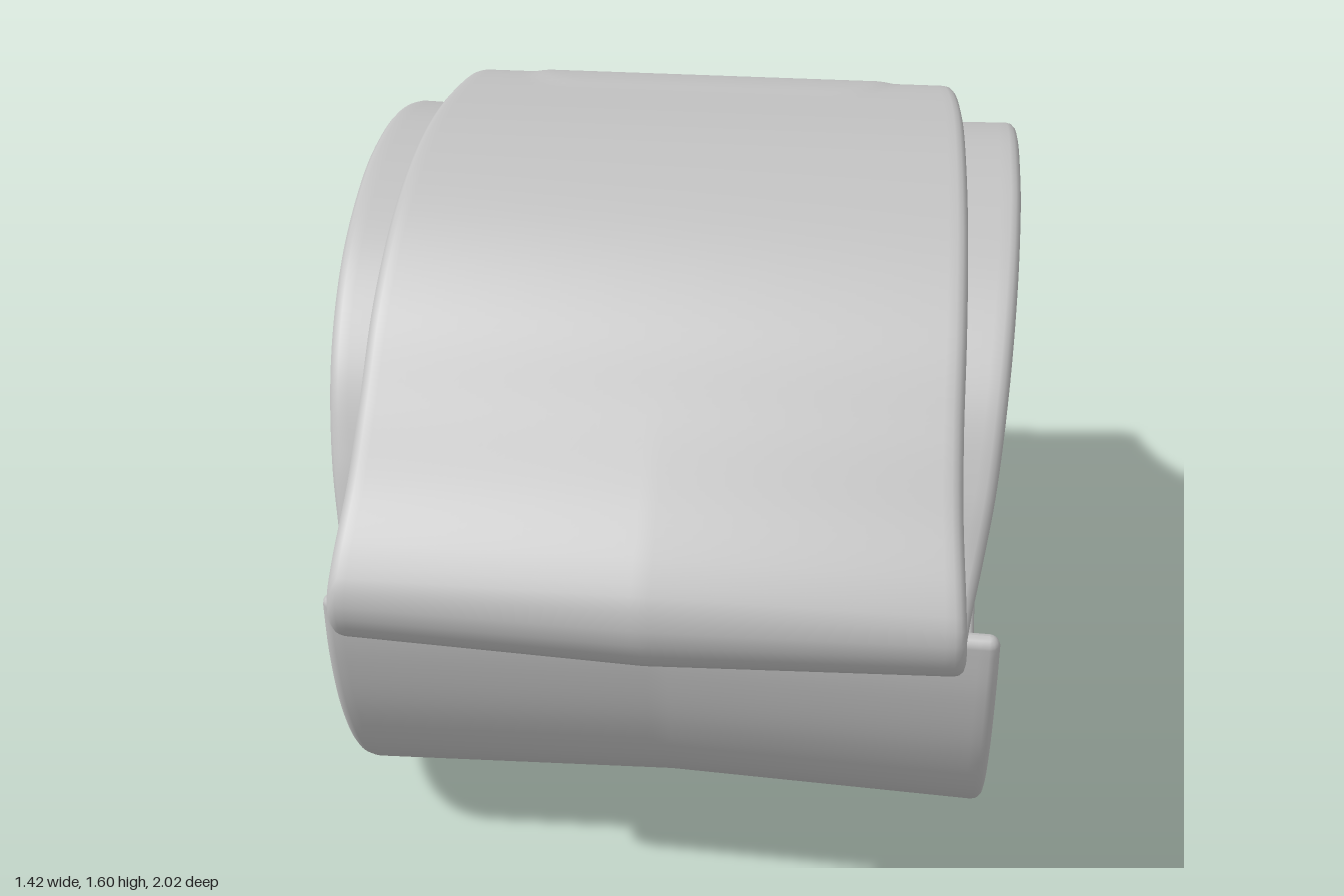
import * as THREE from 'three';

// Centre line of the strap: [z, y, half width], from the front opening, under,
// round the back, over the top, through the front fold and back as a flap.
const BAND = [
  [0.782, 0.765, 0.71], [0.775, 0.62, 0.71], [0.735, 0.45, 0.71], [0.65, 0.29, 0.71],
  [0.5, 0.155, 0.71], [0.35, 0.075, 0.71], [0.18, 0.032, 0.71], [0, 0.025, 0.71],
  [-0.15, 0.031, 0.71], [-0.3, 0.072, 0.71], [-0.45, 0.17, 0.71], [-0.6, 0.3, 0.71],
  [-0.7, 0.46, 0.71], [-0.765, 0.65, 0.71], [-0.781, 0.82, 0.71], [-0.75, 1.0, 0.71],
  [-0.62, 1.21, 0.71], [-0.45, 1.36, 0.71], [-0.29, 1.467, 0.71], [-0.07, 1.525, 0.71],
  [0.1, 1.522, 0.71], [0.25, 1.487, 0.71], [0.46, 1.385, 0.705], [0.62, 1.235, 0.695],
  [0.72, 1.06, 0.68], [0.78, 0.92, 0.66], [0.825, 0.835, 0.645],
];
const FLAP = [
  [0.875, 0.79, 0.637], [0.925, 0.788, 0.635], [0.965, 0.825, 0.635], [0.978, 0.88, 0.633],
  [0.945, 0.94, 0.628], [0.835, 1.065, 0.615], [0.73, 1.195, 0.608], [0.595, 1.345, 0.605],
  [0.41, 1.475, 0.6], [0.19, 1.557, 0.592], [-0.07, 1.577, 0.582], [-0.26, 1.562, 0.565],
  [-0.38, 1.51, 0.548], [-0.5, 1.43, 0.525], [-0.64, 1.345, 0.487], [-0.8, 1.285, 0.43],
  [-0.9, 1.278, 0.39], [-0.998, 1.292, 0.35],
];
const H = 0.022; // half thickness
const COLS = 64, ROWS = 310, EDGE = 6;

// 1 inside a rounded rectangle, fading softly to 0 at its border
function panel(a, b, halfA, halfB, radius) {
  const qa = Math.abs(a) - halfA + radius, qb = Math.abs(b) - halfB + radius;
  const d = Math.hypot(Math.max(qa, 0), Math.max(qb, 0)) + Math.min(Math.max(qa, qb), 0) - radius;
  return 1 - THREE.MathUtils.smoothstep(d, -0.02, 0.02);
}

// Closed cross-section, counter-clockwise: s = -1..1 across, e = rounded edge, n = thickness
function crossSection() {
  const loop = [];
  for (let i = 0; i <= COLS; i++) loop.push({ s: 1 - 2 * i / COLS, e: 0, n: 1 });
  for (let i = 1; i < EDGE; i++) {
    const a = Math.PI * i / EDGE;
    loop.push({ s: -1, e: -Math.sin(a), n: Math.cos(a) });
  }
  for (let i = 0; i <= COLS; i++) loop.push({ s: -1 + 2 * i / COLS, e: 0, n: -1 });
  for (let i = 1; i < EDGE; i++) {
    const a = Math.PI * i / EDGE;
    loop.push({ s: 1, e: Math.sin(a), n: -Math.cos(a) });
  }
  return loop;
}

function strapGeometry() {
  const curve = new THREE.CatmullRomCurve3(
    [...BAND, ...FLAP].map(([z, y, w]) => new THREE.Vector3(w, y, z)));
  curve.arcLengthDivisions = 3000;
  const length = curve.getLength();

  // Row distances, with extra rows to round both ends
  const round = [0, 0.06, 0.2, 0.45, 0.75].map(k => k * H);
  const dist = [...round];
  for (let i = 0; i <= ROWS; i++) dist.push(H + (length - 2 * H) * i / ROWS);
  dist.push(...round.map(d => length - d).reverse());
  const rows = dist.map(d => {
    const u = Math.min(1, d / length);
    return { d, p: curve.getPointAt(u), t: curve.getTangentAt(u).setX(0).normalize() };
  });

  // Distance along the strap of the row nearest a place on the band or flap
  const fold = rows.reduce((a, b) => (b.p.z > a.p.z ? b : a)).d;
  const along = (z, y, onFlap) => rows.filter(r => (r.d > fold) === onFlap)
    .reduce((a, b) => (Math.hypot(b.p.z - z, b.p.y - y) < Math.hypot(a.p.z - z, a.p.y - y) ? b : a)).d;
  const backSpan = [along(-0.58, 0.3, false), along(-0.4, 1.4, false)];
  const flapSpan = [along(-0.13, 1.577, true), along(-0.7, 1.32, true)];
  const raised = (x, d, [from, to], halfX) =>
    panel(x, d - (from + to) / 2, halfX, (to - from) / 2, 0.12);

  const loop = crossSection(), N = loop.length;
  const pos = [], index = [];
  rows.forEach(({ d, p, t }, i) => {
    const end = Math.min(1, Math.min(d, length - d) / H);
    const thick = H * Math.sqrt(Math.max(0, 1 - (1 - end) ** 2));
    // Waist pulls the middle of the band inwards, notch hollows the flap tip
    const waist = 0.02 * (1 - THREE.MathUtils.smoothstep(d, fold, fold + 0.5));
    const notch = 0.022 * THREE.MathUtils.smoothstep(d, length - 0.3, length);
    for (const { s, e, n } of loop) {
      const x = s * (p.x - H) + e * thick;
      const mid = 1 - Math.abs(s);
      let off = n * thick - waist * mid;
      if (e === 0 && n > 0 && d < fold) off += 0.008 * raised(x, d, backSpan, 0.54);
      if (e === 0 && n < 0 && d > fold) off -= 0.005 * raised(x, d, flapSpan, 0.41);
      const back = notch * mid;
      pos.push(x, p.y + t.z * off - t.y * back, p.z - t.y * off - t.z * back);
    }
    if (i === 0) return;
    for (let j = 0; j < N; j++) {
      const k = (j + 1) % N, a = (i - 1) * N, b = i * N;
      index.push(a + j, a + k, b + k, a + j, b + k, b + j);
    }
  });
  const geometry = new THREE.BufferGeometry();
  geometry.setAttribute('position', new THREE.Float32BufferAttribute(pos, 3));
  geometry.setIndex(index);
  geometry.computeVertexNormals();
  return geometry;
}

export function createModel() {
  const group = new THREE.Group();
  group.name = 'foldedCuff';
  const grey = new THREE.MeshStandardMaterial({ color: 0xc0c0c0 });
  grey.name = 'light grey';
  // One continuous strap: band, front fold and overlapping flap
  const strap = new THREE.Mesh(strapGeometry(), grey);
  strap.name = 'strap';
  group.add(strap);
  return group;
}
